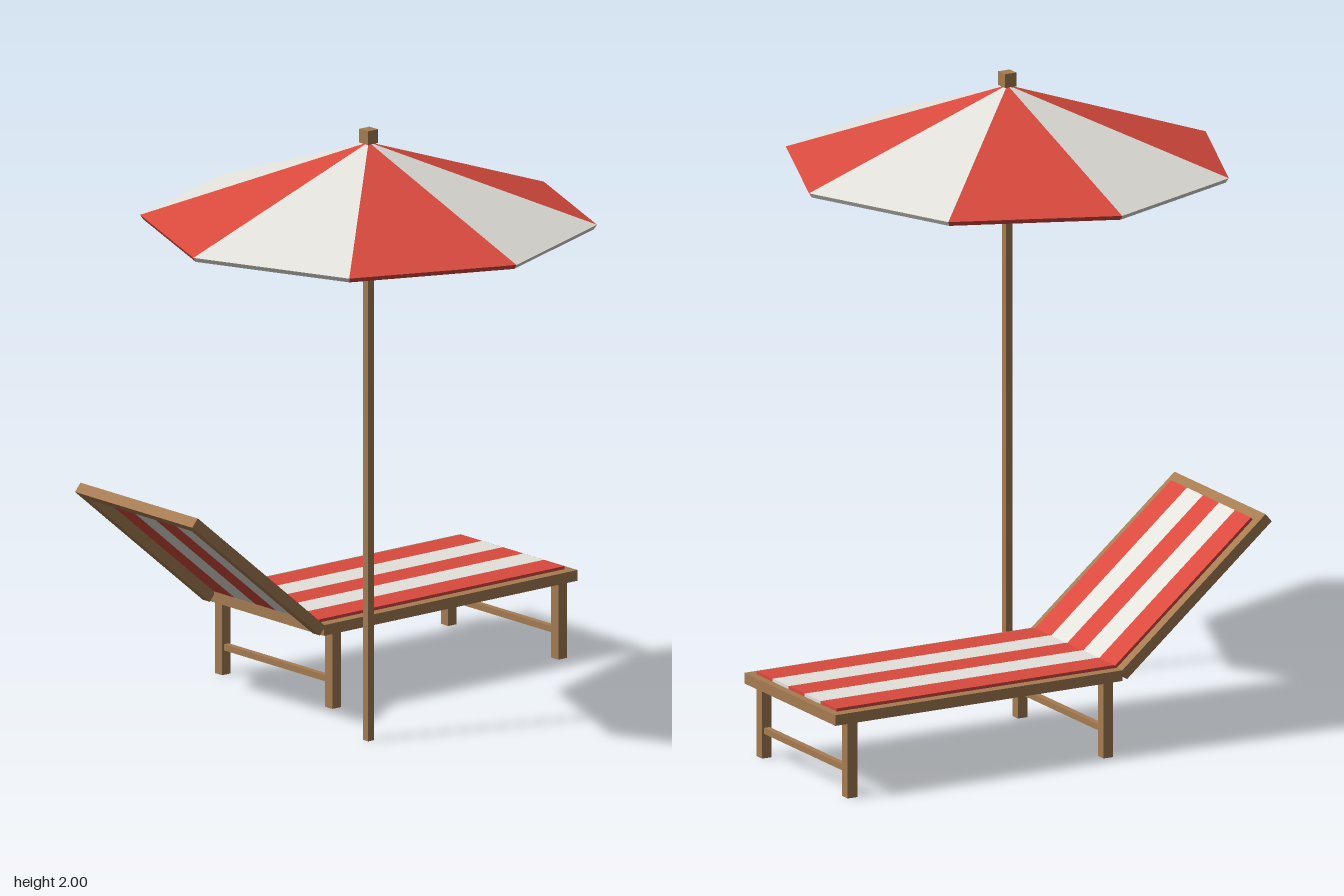
import * as THREE from 'three';

const material = (name, color) => {
  const m = new THREE.MeshStandardMaterial({ color });
  m.name = name;
  return m;
};

export function createModel() {
  const wood = material('wood', 0xa67c52);
  const red = material('red fabric', 0xd94a3e);
  const white = material('white fabric', 0xe4e2dc);

  const model = new THREE.Group();
  model.name = 'sunLoungerAndParasol';

  const group = (name, parent, x, y, z) => {
    const g = new THREE.Group();
    g.name = name;
    g.position.set(x, y, z);
    parent.add(g);
    return g;
  };

  // Box given by its extents along each axis
  const box = (name, parent, mat, [x0, x1], [y0, y1], [z0, z1]) => {
    const mesh = new THREE.Mesh(new THREE.BoxGeometry(x1 - x0, y1 - y0, z1 - z0), mat);
    mesh.position.set((x0 + x1) / 2, (y0 + y1) / 2, (z0 + z1) / 2);
    mesh.name = name;
    parent.add(mesh);
  };

  const T = 0.035;            // timber thickness
  const W = 0.2875;           // half width of the lounger
  const inner = W - T;
  const across = [-inner, inner];
  const thick = [-T / 2, T / 2];

  // Pair of rails along the sides
  const sideRails = (name, parent, z) => {
    for (const s of [-1, 1]) {
      const c = s * (W - T / 2);
      box(name, parent, wood, [c - T / 2, c + T / 2], thick, z);
    }
  };

  // Five stripes of cloth laid on top of the frame
  const cloth = (name, parent, z) => {
    const w = 2 * inner / 5;
    for (let i = 0; i < 5; i++) {
      const x = -inner + i * w;
      box(name, parent, i % 2 ? white : red, [x, x + w], [T / 2, T / 2 + 0.01], z);
    }
  };

  // Lounger seat
  const lounger = group('lounger', model, -0.5475, 0, 0);
  const seat = group('seat', lounger, 0, 0.2625, 0);
  sideRails('seatSideRail', seat, [-0.95, 0.1]);
  box('footRail', seat, wood, across, thick, [-0.95, -0.95 + T]);
  box('hingeRail', seat, wood, across, thick, [0.1 - T, 0.1]);
  cloth('seatStripe', seat, [-0.925, 0.09]);

  // Reclined backrest, hinged at the end of the seat
  const backrest = group('backrest', lounger, 0, 0.2625, 0.105);
  backrest.rotation.x = THREE.MathUtils.degToRad(-40);
  sideRails('backrestSideRail', backrest, [0, 0.69]);
  box('backrestTopRail', backrest, wood, across, thick, [0.69 - T, 0.69]);
  cloth('backrestStripe', backrest, [0, 0.655]);

  // Legs with a low stretcher between each pair
  for (const z of [0.0475, -0.8875]) {
    for (const s of [-1, 1]) {
      const c = s * (W - T / 2);
      box('leg', lounger, wood, [c - T / 2, c + T / 2], [0, 0.245], [z - T / 2, z + T / 2]);
    }
    box('stretcher', lounger, wood, across, [0.08, 0.1], [z - 0.01, z + 0.01]);
  }

  // Parasol pole and finial
  const parasol = group('parasol', model, 0.105, 0, 0.223);
  box('pole', parasol, wood, [-0.0125, 0.0125], [0, 1.955], [-0.0125, 0.0125]);
  box('finial', parasol, wood, [-0.021, 0.021], [1.955, 2], [-0.021, 0.021]);

  // Eight flat canopy panels in alternating colours
  const profile = [[0, 1.942], [0.715, 1.688], [0.725, 1.703], [0, 1.957]]
    .map(([r, y]) => new THREE.Vector2(r, y));
  for (let i = 0; i < 8; i++) {
    const panel = new THREE.LatheGeometry(profile, 1, i * Math.PI / 4, Math.PI / 4).toNonIndexed();
    panel.computeVertexNormals();
    const mesh = new THREE.Mesh(panel, i % 2 ? red : white);
    mesh.name = 'canopyPanel';
    parasol.add(mesh);
  }

  return model;
}
